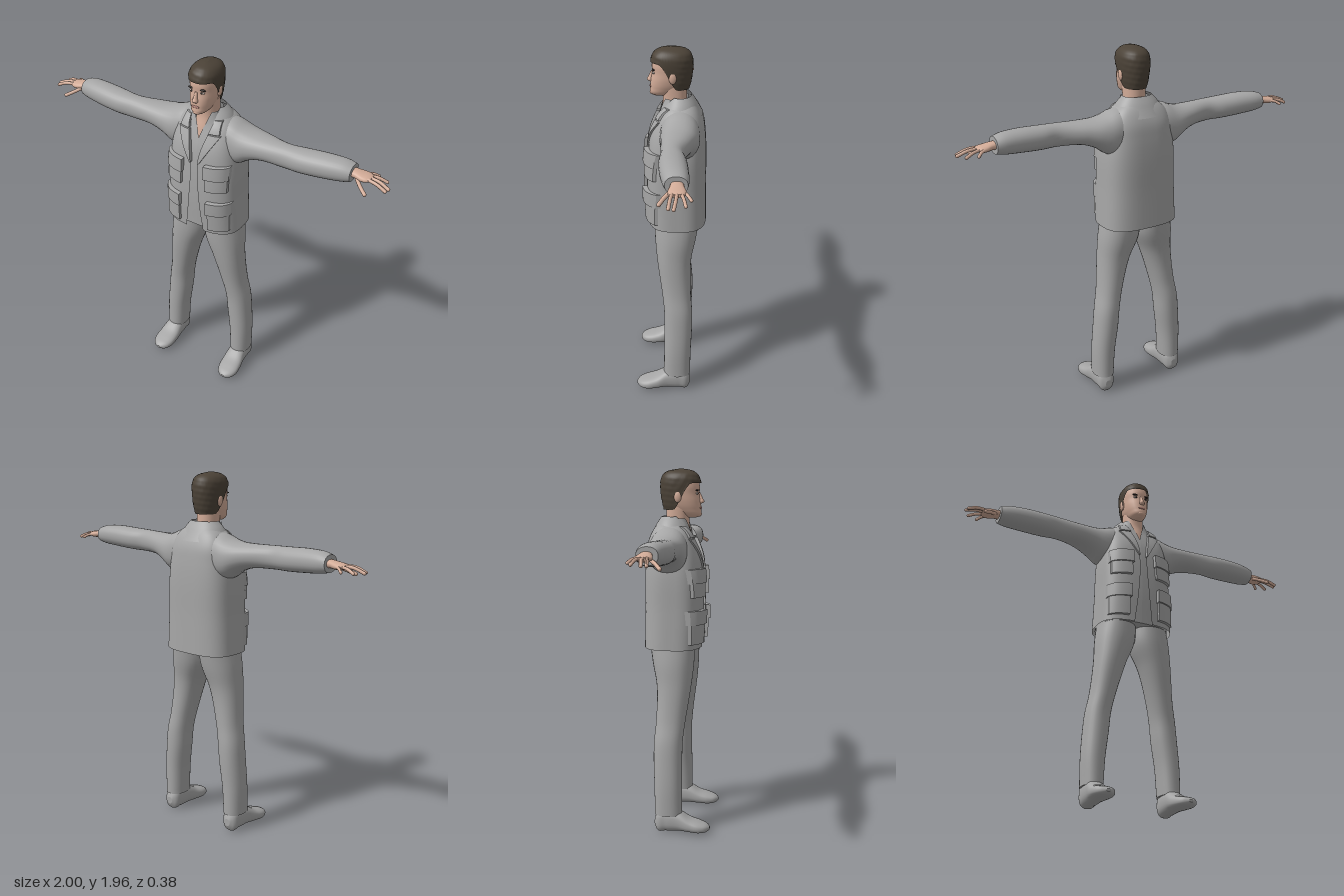
import * as THREE from 'three';
import { mergeGeometries } from 'three/addons/utils/BufferGeometryUtils.js';

const mat = (name, color, side = THREE.FrontSide) => {
  const m = new THREE.MeshStandardMaterial({ color, side });
  m.name = name;
  return m;
};

// Smooth interpolation of sections [t, u0, u1, v0, v1], or [t, u0, u1, halfV]
function profile(sections) {
  const rows = sections.map(s => (s.length === 4 ? [...s.slice(0, 3), -s[3], s[3]] : s));
  const cubic = new THREE.CubicInterpolant(
    new Float32Array(rows.map(r => r[0])), new Float32Array(rows.flatMap(r => r.slice(1))), 4);
  return { at: t => cubic.evaluate(t), t0: rows[0][0], t1: rows[rows.length - 1][0] };
}

// Superelliptic skin over a profile. axis x: u=y v=z, axis y: u=z v=x, axis z: u=x v=y.
// gap(t) leaves a slit of that half width at the front; start(angle) shapes the lower edge.
function loft(sections, axis, { n = 2.2, seg = 28, steps = 28, gap, start, bump } = {}) {
  const p = profile(sections), pos = [], idx = [];
  const place = (t, u, v) => pos.push(...(axis === 'x' ? [t, u, v] : axis === 'y' ? [v, t, u] : [u, v, t]));
  const pw = c => Math.sign(c) * Math.abs(c) ** (2 / n);
  const cols = gap ? seg + 1 : seg;
  const ring = k => {
    for (let j = 0; j < cols; j++) {
      let a = (j / seg) * Math.PI * 2;
      const t = THREE.MathUtils.lerp(start ? start(a) : p.t0, p.t1, k);
      const [u0, u1, v0, v1] = p.at(t);
      if (gap) {
        const a0 = Math.asin(Math.min(1, gap(t) / v1) ** (n / 2));
        a = a0 + (j / seg) * (Math.PI * 2 - 2 * a0);
      }
      const r = bump ? 1 + bump(a, t) : 1;
      place(t, (u0 + u1) / 2 + r * pw(Math.cos(a)) * (u1 - u0) / 2,
        (v0 + v1) / 2 + r * pw(Math.sin(a)) * (v1 - v0) / 2);
    }
  };
  for (let i = 0; i <= steps; i++) ring(i / steps);
  for (let i = 0; i < steps; i++) for (let j = 0; j < seg; j++) {
    const j1 = (j + 1) % cols, a = i * cols + j, b = i * cols + j1;
    idx.push(a, b, a + cols, b, b + cols, a + cols);
  }
  // End caps with their own vertices, so the rims stay sharp
  if (!gap) for (const k of start ? [1] : [0, 1]) {
    const base = pos.length / 3;
    ring(k);
    const t = k ? p.t1 : p.t0, [u0, u1, v0, v1] = p.at(t);
    place(t, (u0 + u1) / 2, (v0 + v1) / 2);
    for (let j = 0; j < seg; j++) {
      const a = base + j, b = base + (j + 1) % seg;
      idx.push(base + seg, ...(k ? [a, b] : [b, a]));
    }
  }
  const g = new THREE.BufferGeometry();
  g.setAttribute('position', new THREE.Float32BufferAttribute(pos, 3));
  g.setIndex(idx);
  g.computeVertexNormals();
  return g;
}

// Mirror across x = 0, keeping the faces outward
function mirror(geo) {
  const g = geo.clone().scale(-1, 1, 1), ix = g.index.array;
  for (let i = 0; i < ix.length; i += 3) [ix[i], ix[i + 1]] = [ix[i + 1], ix[i]];
  g.computeVertexNormals();
  return g;
}

const ball = (x, y, z, rx, ry, rz) => new THREE.SphereGeometry(1, 16, 12).scale(rx, ry, rz).translate(x, y, z);

const JACKET_N = 2.9;
const jacketSections = [
  [1.0, -.19, .122, .215], [1.2, -.187, .13, .207], [1.4, -.186, .122, .2], [1.5, -.18, .107, .187],
  [1.57, -.17, .08, .175], [1.62, -.15, .055, .152], [1.65, -.132, .03, .122], [1.67, -.115, .01, .09]];
const jacketShape = profile(jacketSections);
const openingShape = profile([[1.0, 0, 0, .052], [1.2, 0, 0, .03], [1.4, 0, 0, .02], [1.5, 0, 0, .033],
  [1.58, 0, 0, .055], [1.67, 0, 0, .075]]);
const opening = y => openingShape.at(y)[3];

function chestZ(x, y) {
  const [z0, z1, , hx] = jacketShape.at(y);
  const q = Math.min(.97, Math.abs(x) / hx);
  return (z0 + z1) / 2 + (z1 - z0) / 2 * (1 - q ** JACKET_N) ** (1 / JACKET_N);
}

// Slab draped over the jacket front between two edge curves
function panel(y0, y1, inner, outer, thick) {
  const g = new THREE.BoxGeometry(1, 1, 1, 10, 12, 1), p = g.attributes.position;
  for (let i = 0; i < p.count; i++) {
    const y = THREE.MathUtils.lerp(y0, y1, p.getY(i) + .5);
    const x = THREE.MathUtils.lerp(inner(y), outer(y), p.getX(i) + .5);
    p.setXYZ(i, x, y, chestZ(x, y) + (p.getZ(i) > 0 ? thick : -.012));
  }
  g.computeVertexNormals();
  return g;
}

export function createModel() {
  const root = new THREE.Group();
  root.name = 'standingMan';
  const cloth = mat('grey cloth', 0xa6a6a6, THREE.DoubleSide);
  const skin = mat('skin', 0xd3ac98);
  const hair = mat('dark brown hair', 0x4b4237, THREE.DoubleSide);
  const dark = mat('eye dark', 0x2b2422);
  const white = mat('eye white', 0xc9bdb5);
  const lip = mat('lips', 0xb08076);
  const add = (name, geo, m) => {
    const mesh = new THREE.Mesh(geo, m);
    mesh.name = name;
    root.add(mesh);
  };
  const pair = (name, geo, m) => {
    add('left ' + name, geo, m);
    add('right ' + name, mirror(geo), m);
  };

  // Jacket, open down the front, over a shirt
  add('jacket', loft(jacketSections, 'y', { n: JACKET_N, seg: 56, steps: 40, gap: opening }), cloth);
  add('shirt', loft([[1.01, -.17, .1, .195], [1.2, -.165, .108, .187], [1.4, -.165, .104, .18],
    [1.5, -.16, .093, .165], [1.57, -.145, .073, .145], [1.62, -.12, .056, .105], [1.66, -.1, .048, .08],
    [1.69, -.088, .04, .07]], 'y', { n: 2.6, seg: 48, gap: y => Math.max(0, (y - 1.555) * .36) }), cloth);
  add('jacketUnderside', loft([[1.008, -.175, .1, .2], [1.03, -.175, .1, .2]], 'y', { n: 2.9, steps: 1 }), cloth);
  add('collar', loft([[1.6, -.165, .075, .15], [1.64, -.142, .05, .128], [1.67, -.125, .03, .108],
    [1.7, -.104, .01, .08]], 'y', { seg: 40, steps: 10, gap: y => .06 + (y - 1.6) * .1 }), cloth);

  // Lapels with a notch, then pockets with flaps
  const ramp = (a, b, y, lo, hi) => THREE.MathUtils.mapLinear(y, a, b, lo, hi);
  pair('lapel', panel(1.42, 1.585, opening, y => ramp(1.42, 1.585, y, .026, .122), .01), cloth);
  pair('collarPoint', panel(1.592, 1.65, opening, y => ramp(1.592, 1.65, y, .115, .105), .012), cloth);
  for (const [name, bottom, top, x0, x1] of [['chestPocket', 1.28, 1.43, .065, .186], ['hipPocket', 1.03, 1.21, .08, .198]]) {
    pair(name, panel(bottom, top - .04, () => x0 + .008, () => x1 - .006, .018), cloth);
    pair(name + 'Flap', panel(top - .075, top, () => x0, () => x1, .027), cloth);
  }

  // Sleeves
  pair('sleeve', loft([[.08, 1.41, 1.65, -.145, .05], [.15, 1.405, 1.642, -.15, .055], [.2, 1.415, 1.622, -.148, .056],
    [.25, 1.45, 1.61, -.138, .052], [.32, 1.478, 1.606, -.115, .047], [.46, 1.487, 1.607, -.075, .043],
    [.55, 1.488, 1.61, -.088, .048], [.68, 1.496, 1.615, -.098, .038], [.77, 1.505, 1.61, -.1, .022],
    [.805, 1.513, 1.6, -.095, .012]], 'x', { steps: 44 }), cloth);

  // Hands: four spread fingers, a lowered thumb and the palm
  const fingers = [
    [[.86, 1.552, -.078], [.89, 1.548, -.095], [.91, 1.535, -.11], .008],
    [[.88, 1.553, -.065], [.925, 1.548, -.077], [.963, 1.532, -.086], .0085],
    [[.88, 1.555, -.046], [.94, 1.55, -.042], [.99, 1.53, -.034], .009],
    [[.88, 1.555, -.025], [.935, 1.55, -.016], [.983, 1.53, -.01], .009],
    [[.83, 1.545, -.022], [.868, 1.525, .012], [.9, 1.508, .034], .01]];
  const fingerGeos = fingers.flatMap(f => {
    const pts = f.slice(0, 3).map(q => new THREE.Vector3(...q)), r = f[3];
    return [new THREE.TubeGeometry(new THREE.CatmullRomCurve3(pts), 8, r, 8), ball(...f[2], r, r, r)];
  });
  pair('fingers', mergeGeometries(fingerGeos), skin);
  pair('palm', loft([[.78, 1.535, 1.58, -.075, -.015], [.82, 1.537, 1.577, -.078, -.012],
    [.86, 1.534, 1.57, -.088, -.004], [.885, 1.537, 1.566, -.085, -.008], [.9, 1.543, 1.561, -.07, -.02]],
  'x', { steps: 14, seg: 18 }), skin);

  // Trousers
  pair('trouserLeg', loft([[.095, -.112, .037, .165, .278], [.25, -.115, .035, .155, .278], [.4, -.121, .034, .135, .268],
    [.5, -.12, .036, .125, .258], [.6, -.112, .047, .105, .24], [.8, -.113, .075, .047, .222],
    [.92, -.138, .086, -.002, .214], [1.03, -.155, .088, -.01, .197]], 'y', { steps: 36 }), cloth);

  // Shoes
  pair('shoe', loft([[-.112, .205, .24, .03, .07], [-.1, .186, .26, .004, .105], [-.05, .175, .27, 0, .125],
    [.02, .17, .275, .004, .115], [.08, .166, .285, .003, .08], [.14, .172, .285, .002, .06],
    [.178, .195, .262, .01, .045], [.19, .218, .24, .02, .034]], 'z', { n: 2.5, steps: 30 }), cloth);

  // Neck, head and face
  add('neck', loft([[1.54, -.07, .07, .06], [1.6, -.075, .058, .058], [1.66, -.08, .045, .057], [1.75, -.08, .05, .058]], 'y'), skin);
  add('head', loft([[1.695, .02, .09, .02], [1.705, -.01, .106, .036], [1.74, -.06, .109, .056],
    [1.78, -.088, .106, .067], [1.82, -.098, .099, .071], [1.86, -.102, .1, .073], [1.9, -.096, .088, .067],
    [1.925, -.075, .065, .045], [1.935, -.03, .03, .015]], 'y', { steps: 36 }), skin);
  add('nose', loft([[1.768, .09, .112, .012], [1.777, .09, .126, .016], [1.79, .09, .12, .012], [1.825, .085, .103, .007]],
    'y', { n: 2, seg: 14, steps: 10 }), skin);
  add('lips', ball(0, 1.745, .106, .022, .007, .006), lip);
  add('chin', ball(0, 1.712, .092, .024, .015, .02), skin);
  pair('ear', ball(.072, 1.805, -.008, .011, .031, .02), skin);
  pair('eyeWhite', ball(.03, 1.822, .089, .014, .006, .007), white);
  pair('iris', ball(.03, 1.822, .093, .006, .006, .005), dark);
  pair('eyebrow', ball(.031, 1.838, .09, .02, .005, .008), dark);

  // Short hair with a shaped hairline and slight waves
  add('hair', loft([[1.72, -.088, .09, .06], [1.76, -.1, .1, .071], [1.82, -.11, .104, .078], [1.87, -.112, .107, .081],
    [1.905, -.106, .1, .077], [1.93, -.088, .08, .06], [1.944, -.055, .05, .034], [1.95, -.015, .015, .008]], 'y', {
    seg: 48, steps: 28,
    start: a => 1.735 + .14 * THREE.MathUtils.smoothstep(Math.cos(a), -.35, .6),
    bump: (a, t) => .014 * Math.sin(9 * a + 60 * t) * Math.sin(7 * a - 150 * t),
  }), hair);
  return root;
}
